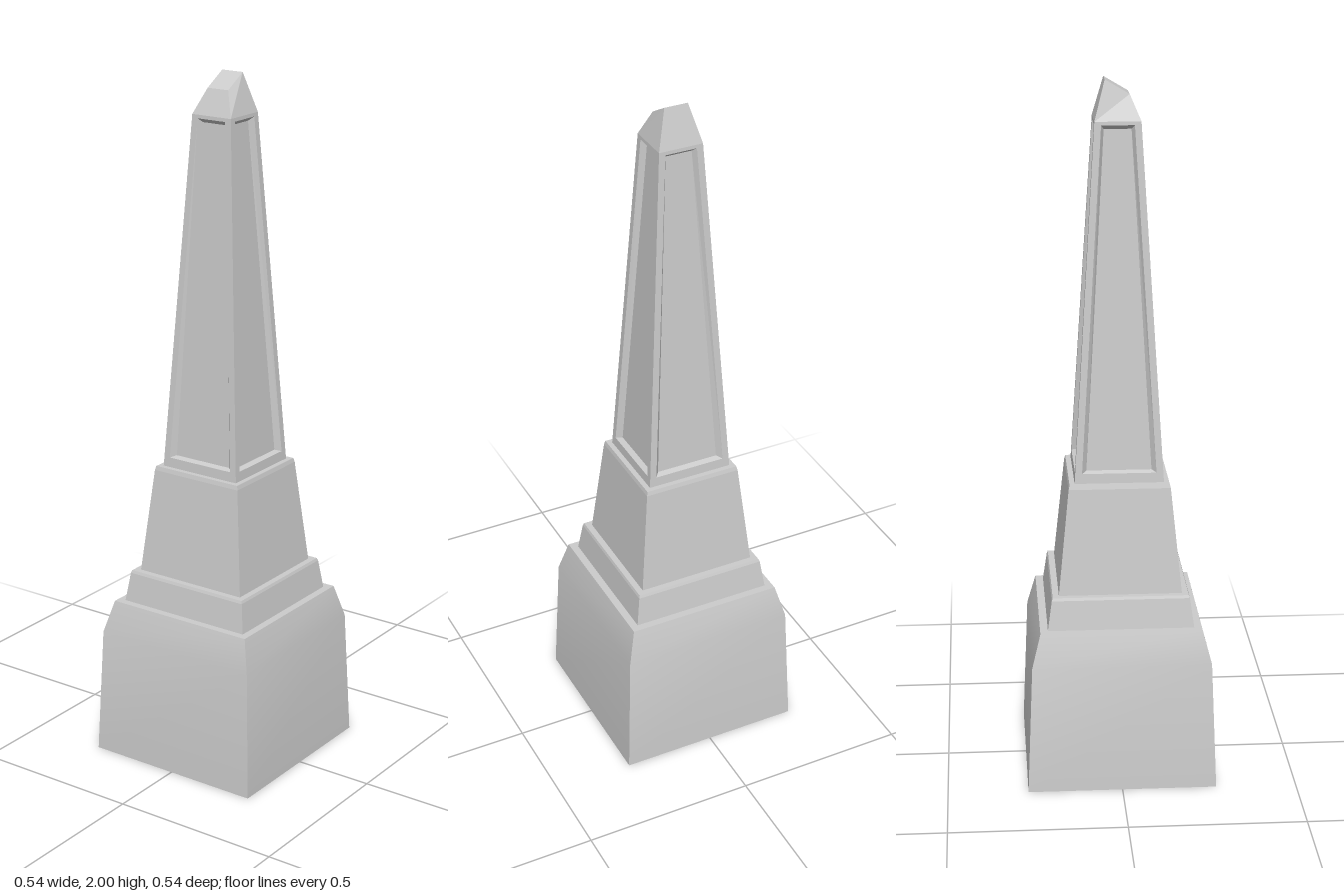
import * as THREE from 'three';
import { toCreasedNormals } from 'three/addons/utils/BufferGeometryUtils.js';

const material = new THREE.MeshStandardMaterial({ color: 0xcccccc });

// Four corners of a horizontal square, counter-clockwise from above, front first
const square = (h, y) => [[-h, y, h], [h, y, h], [h, y, -h], [-h, y, -h]];

function quadGeometry(quads) {
  const points = [];
  for (const [a, b, c, d] of quads) points.push(...a, ...b, ...c, ...a, ...c, ...d);
  const geometry = new THREE.BufferGeometry();
  geometry.setAttribute('position', new THREE.Float32BufferAttribute(points, 3));
  geometry.computeVertexNormals();
  return geometry;
}

// Quads joining two four-cornered rings, lower to upper
const band = (lower, upper) => lower.map((p, i) => {
  const j = (i + 1) % 4;
  return [p, lower[j], upper[j], upper[i]];
});

// Closed solid through a stack of rings
function loft(rings) {
  const quads = [[...rings[0]].reverse(), rings[rings.length - 1]];
  for (let i = 1; i < rings.length; i++) quads.push(...band(rings[i - 1], rings[i]));
  return quadGeometry(quads);
}

export function createModel() {
  const group = new THREE.Group();
  const add = (name, geometry) => {
    const mesh = new THREE.Mesh(geometry, material);
    mesh.name = name;
    group.add(mesh);
    return mesh;
  };
  const tier = (profile) => loft(profile.map(([h, y]) => square(h, y)));

  // Stepped base, each tier as [half width, height]
  add('plinth', toCreasedNormals(tier([[0.27, 0], [0.255, 0.375], [0.23, 0.47]]), 0.5));
  add('plinthStep', tier([[0.208, 0.47], [0.196, 0.555], [0.193, 0.563]]));
  add('pedestal', tier([[0.175, 0.563], [0.144, 0.868], [0.141, 0.88]]));

  // Shaft: four identical tapered faces, each a frame around a recessed panel
  const y0 = 0.88, y1 = 1.89, h0 = 0.126, h1 = 0.064;
  const faceZ = (y) => h0 + (h1 - h0) * (y - y0) / (y1 - y0);
  const trapezoid = (bottom, top, wBottom, wTop, depth) => [
    [-wBottom, bottom], [wBottom, bottom], [wTop, top], [-wTop, top],
  ].map(([x, y]) => [x, y, faceZ(y) - depth]);
  const outer = trapezoid(y0, y1, h0, h1, 0);
  const opening = trapezoid(0.908, 1.88, 0.105, 0.046, 0);
  const panel = trapezoid(0.913, 1.868, 0.092, 0.038, 0.016);
  const face = quadGeometry([...band(outer, opening), ...band(opening, panel), panel]);
  for (let i = 0; i < 4; i++) add('shaftFace' + (i + 1), face).rotation.y = i * Math.PI / 2;

  // Cap with a top that slopes down towards the front
  const t = 0.034;
  add('cap', loft([
    square(h1, y1),
    [[-t, 1.96, t], [t, 1.96, t], [t, 2, -t], [-t, 2, -t]],
  ]));

  return group;
}
